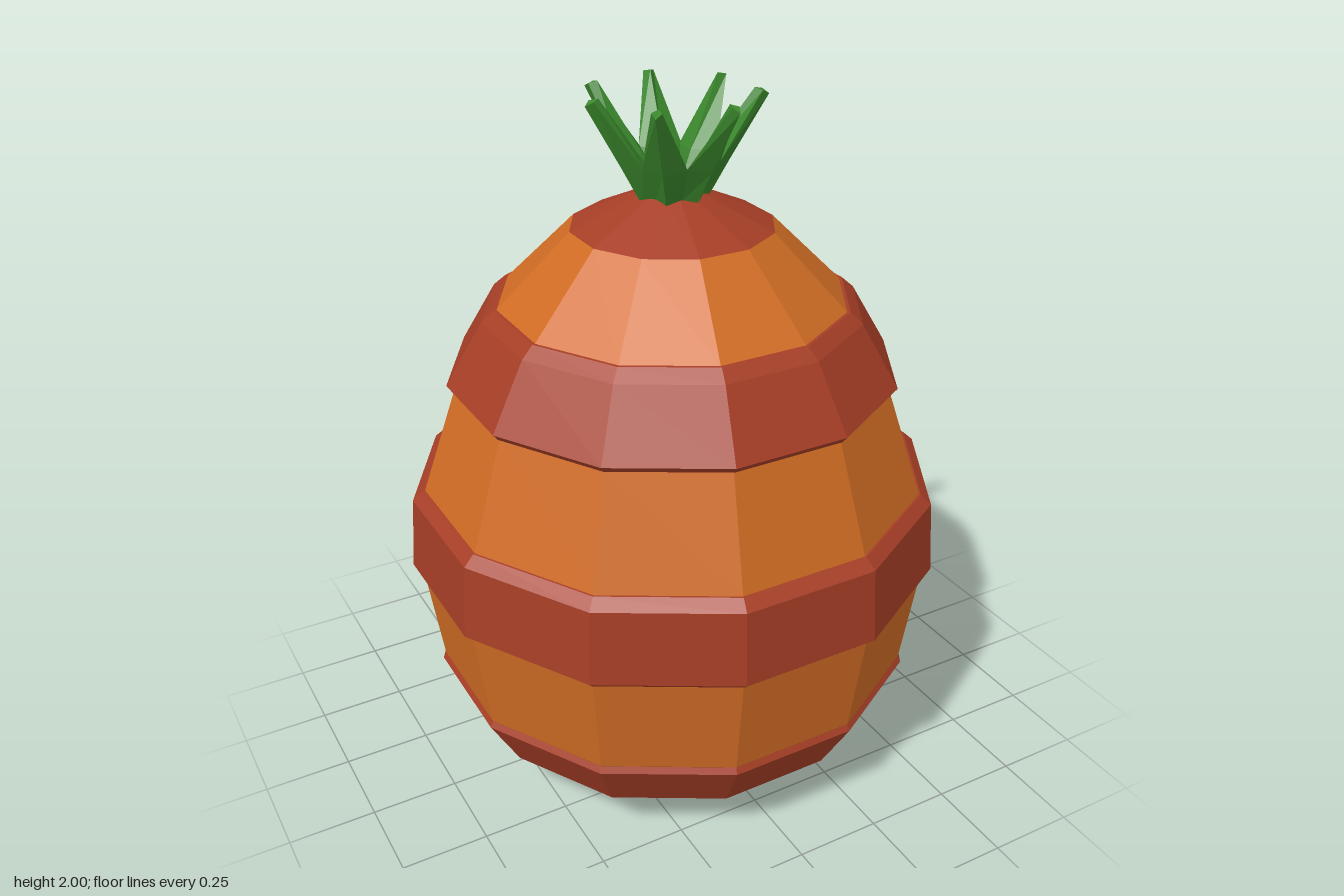
import * as THREE from 'three';

const SIDES = 12;
const CORNER = 1 / Math.cos(Math.PI / SIDES); // flat-side distance to corner radius

function faceted(geometry) {
  const flat = geometry.toNonIndexed();
  flat.computeVertexNormals();
  return flat;
}

// Twelve-sided shell with flat sides facing the axes; profile is [distance, height]
function shell(name, profile, material) {
  const points = profile.map(([r, y]) => new THREE.Vector2(r * CORNER, y));
  const geometry = new THREE.LatheGeometry(points, SIDES, Math.PI / SIDES);
  const mesh = new THREE.Mesh(faceted(geometry), material);
  mesh.name = name;
  return mesh;
}

// Leaf pointing along +x, lofted through four-cornered sections
function leafGeometry() {
  // [inner x, inner y, side x, side y, half width, outer x, outer y]
  const sections = [
    [0.02, 1.71, 0.06, 1.71, 0.038, 0.095, 1.71],
    [0.085, 1.82, 0.118, 1.82, 0.06, 0.15, 1.81],
    [0.212, 2.0, 0.232, 1.995, 0.014, 0.25, 1.984],
  ];
  const positions = [];
  const index = [];
  for (const [ix, iy, sx, sy, w, ox, oy] of sections) {
    positions.push(ix, iy, 0, sx, sy, w, ox, oy, 0, sx, sy, -w);
  }
  for (let s = 0; s < sections.length - 1; s++) {
    for (let i = 0; i < 4; i++) {
      const a = s * 4 + i;
      const b = s * 4 + ((i + 1) % 4);
      index.push(a, b, b + 4, a, b + 4, a + 4);
    }
  }
  const t = (sections.length - 1) * 4;
  index.push(t, t + 1, t + 2, t, t + 2, t + 3, 0, 2, 1, 0, 3, 2);
  const geometry = new THREE.BufferGeometry();
  geometry.setAttribute('position', new THREE.Float32BufferAttribute(positions, 3));
  geometry.setIndex(index);
  return faceted(geometry);
}

export function createModel() {
  const orange = new THREE.MeshStandardMaterial({ color: 0xd06c24 });
  orange.name = 'orange';
  const red = new THREE.MeshStandardMaterial({ color: 0xa63e26 });
  red.name = 'rust red';
  const green = new THREE.MeshStandardMaterial({ color: 0x3a862c });
  green.name = 'leaf green';

  const model = new THREE.Group();
  model.name = 'stripedFruit';

  // Body
  model.add(shell('body', [
    [0, 0], [0.365, 0], [0.56, 0.13], [0.68, 0.345], [0.72, 0.645],
    [0.695, 0.91], [0.595, 1.21], [0.475, 1.43], [0.272, 1.638],
  ], orange));

  // Top cap
  model.add(shell('topCap', [[0.272, 1.638], [0.08, 1.728], [0, 1.728]], red));

  // Raised stripes with bevelled rims
  const stripes = [
    ['lowerStripe', [[0.55, 0.13], [0.57, 0.132], [0.598, 0.158], [0.688, 0.325], [0.675, 0.35], [0.655, 0.352]]],
    ['middleStripe', [[0.7, 0.645], [0.725, 0.65], [0.746, 0.67], [0.73, 0.882], [0.7, 0.91], [0.675, 0.912]]],
    ['upperStripe', [[0.575, 1.208], [0.6, 1.21], [0.614, 1.228], [0.512, 1.405], [0.478, 1.436], [0.455, 1.436]]],
  ];
  for (const [name, profile] of stripes) model.add(shell(name, profile, red));

  // Crown of seven leaves
  const crown = new THREE.Group();
  crown.name = 'crown';
  const leaf = leafGeometry();
  for (let i = 0; i < 7; i++) {
    const mesh = new THREE.Mesh(leaf, green);
    mesh.name = 'leaf' + (i + 1);
    mesh.rotation.y = Math.PI + (i * Math.PI * 2) / 7;
    crown.add(mesh);
  }
  model.add(crown);

  return model;
}
